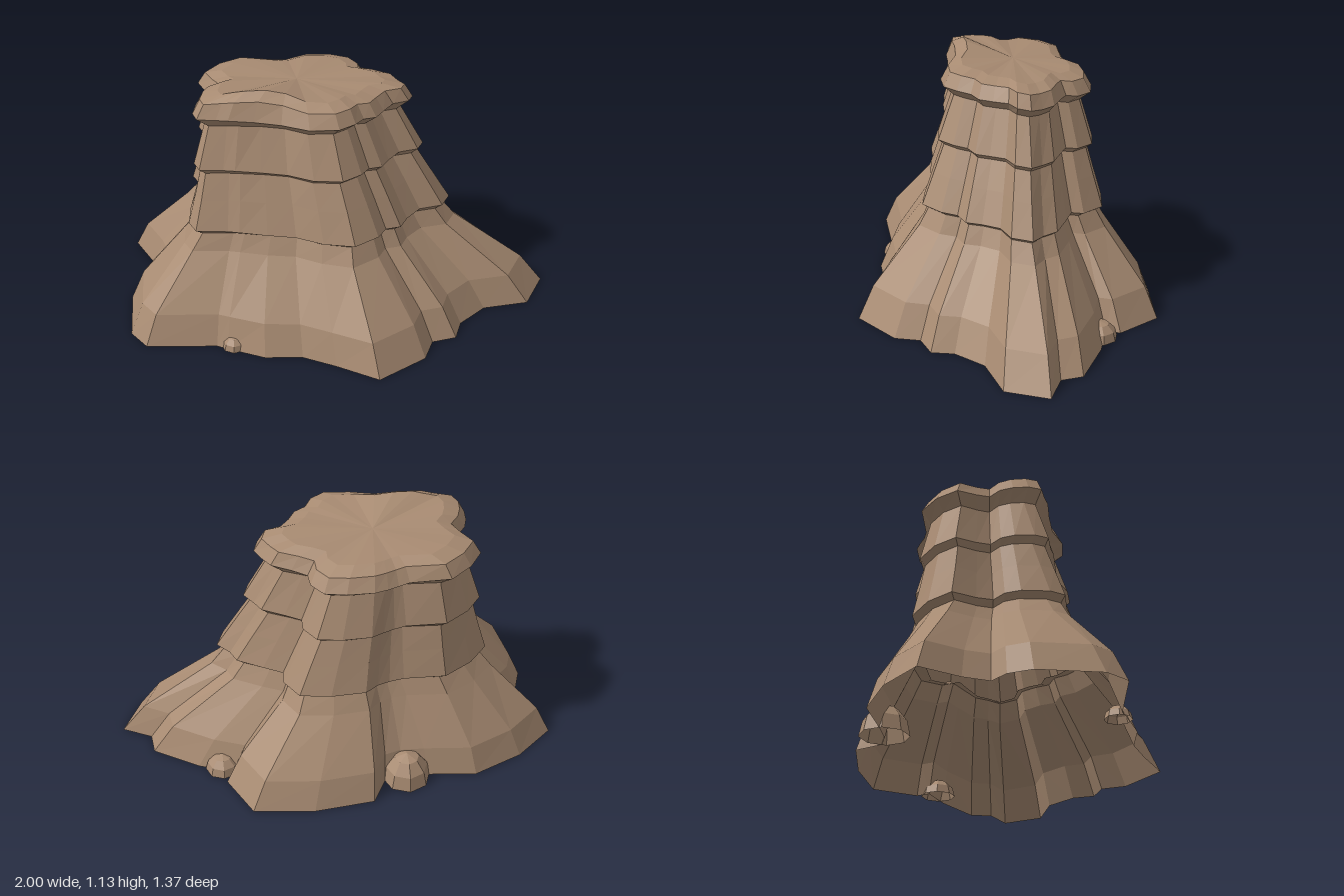
import * as THREE from 'three';

// Vertical flutes around the rock: foot x, foot z, neck x, neck z
const FLUTES = [
  [1.0, -0.03, 0.29, -0.08], [0.91, 0.15, 0.27, -0.03], [0.70, 0.19, 0.2, -0.01], [0.58, 0.30, 0.16, 0.04],
  [0.55, 0.40, 0.13, 0.09], [0.44, 0.43, 0.08, 0.11], [0.40, 0.54, 0.05, 0.16], [0.19, 0.68, -0.01, 0.2],
  [0.0, 0.59, -0.12, 0.19], [-0.15, 0.53, -0.22, 0.14], [-0.32, 0.53, -0.32, 0.13], [-0.49, 0.47, -0.42, 0.13],
  [-0.54, 0.45, -0.47, 0.12], [-0.86, 0.45, -0.55, 0.11], [-0.94, 0.36, -0.57, 0.06], [-0.97, 0.09, -0.56, 0.0],
  [-0.93, -0.01, -0.54, -0.05], [-0.86, -0.07, -0.5, -0.09], [-0.90, -0.18, -0.53, -0.14], [-1.0, -0.34, -0.57, -0.21],
  [-0.82, -0.48, -0.51, -0.29], [-0.59, -0.57, -0.42, -0.35], [-0.37, -0.54, -0.26, -0.33], [-0.25, -0.53, -0.22, -0.34],
  [-0.17, -0.55, -0.18, -0.36], [-0.1, -0.67, -0.13, -0.38], [0.17, -0.69, -0.03, -0.38], [0.44, -0.65, 0.05, -0.36],
  [0.54, -0.45, 0.09, -0.30], [0.51, -0.39, 0.09, -0.25], [0.66, -0.33, 0.15, -0.22], [0.86, -0.2, 0.23, -0.18],
  [0.87, -0.1, 0.26, -0.13],
];
const CX = -0.17, CZ = -0.1;

// Each ring: height, blend from foot to neck, outward step, sideways drift, scale towards the middle.
// Every band starts with a hidden ring tucked under its ledge.
const LAYERS = {
  spreadingFoot: [[0, 0, 0], [0.14, 0.155, 0], [0.38, 0.64, 0, 0.015], [0.46, 0.75, 0, 0.03]],
  lowerBand: [[0.44, 0.75, -0.07, 0.03], [0.46, 0.75, 0, 0.03], [0.482, 0.75, 0.033, 0.03],
    [0.62, 0.835, 0.017, 0.02], [0.74, 0.9, 0, 0.008]],
  upperBand: [[0.72, 0.9, -0.06, 0.008], [0.74, 0.9, 0, 0.008], [0.765, 0.9, 0.03, 0.008], [0.96, 1, 0]],
  cap: [[0.94, 1, -0.05], [0.96, 1, 0], [1.005, 1, 0.055], [1.065, 1, 0.018], [1.085, 1, 0, 0, 0.85], [1.08, 1, 0, 0, 0]],
};

function ringPoint([fx, fz, nx, nz], i, [y, t, out, drift = 0, scale = 1]) {
  let x = fx + (nx - fx) * t, z = fz + (nz - fz) * t;
  const k = scale * (1 + out / Math.hypot(x - CX, z - CZ));
  x = CX + (x - CX) * k + drift;
  z = CZ + (z - CZ) * k + drift / 2;
  // strata tilt more with height and ripple slightly, with a hump at the front of the summit
  let h = y + 0.06 * y * z + Math.min(1, y / 0.5) * 0.005 * Math.sin(i * 1.3) * scale;
  if (y > 1.05) h += 0.04 * Math.exp(-((x + 0.3) ** 2 / 0.04 + (z - 0.06) ** 2 / 0.015));
  return [x, h, z];
}

function loft(rows) {
  const n = FLUTES.length, pos = [], idx = [];
  for (const row of rows) FLUTES.forEach((f, i) => pos.push(...ringPoint(f, i, row)));
  for (let r = 0; r < rows.length - 1; r++) {
    for (let i = 0; i < n; i++) {
      const a = r * n + i, b = r * n + (i + 1) % n, c = a + n, d = b + n;
      idx.push(a, c, b);
      if (rows[r + 1][4] !== 0) idx.push(b, c, d);
    }
  }
  const g = new THREE.BufferGeometry();
  g.setAttribute('position', new THREE.Float32BufferAttribute(pos, 3));
  g.setIndex(idx);
  g.computeVertexNormals();
  return g;
}

export function createModel() {
  const group = new THREE.Group();
  const sandstone = new THREE.MeshStandardMaterial({ color: 0xa88b72, flatShading: true, side: THREE.DoubleSide });
  sandstone.name = 'sandstone';

  // Stacked rock layers, open underneath
  for (const [name, rows] of Object.entries(LAYERS)) {
    const mesh = new THREE.Mesh(loft(rows), sandstone);
    mesh.name = name;
    group.add(mesh);
  }

  // Rounded stones tucked into the foot: x, z, radius, height
  const stones = [[0.55, -0.35, 0.08, 0.08], [-0.46, 0.44, 0.06, 0.06], [-0.27, -0.53, 0.11, 0.14]];
  for (const [x, z, r, h] of stones) {
    const stone = new THREE.Mesh(
      new THREE.SphereGeometry(1, 8, 3, 0, Math.PI * 2, 0, Math.PI / 2), sandstone);
    stone.name = 'footStone';
    stone.scale.set(r, h, r);
    stone.position.set(x, 0, z);
    group.add(stone);
  }
  return group;
}
